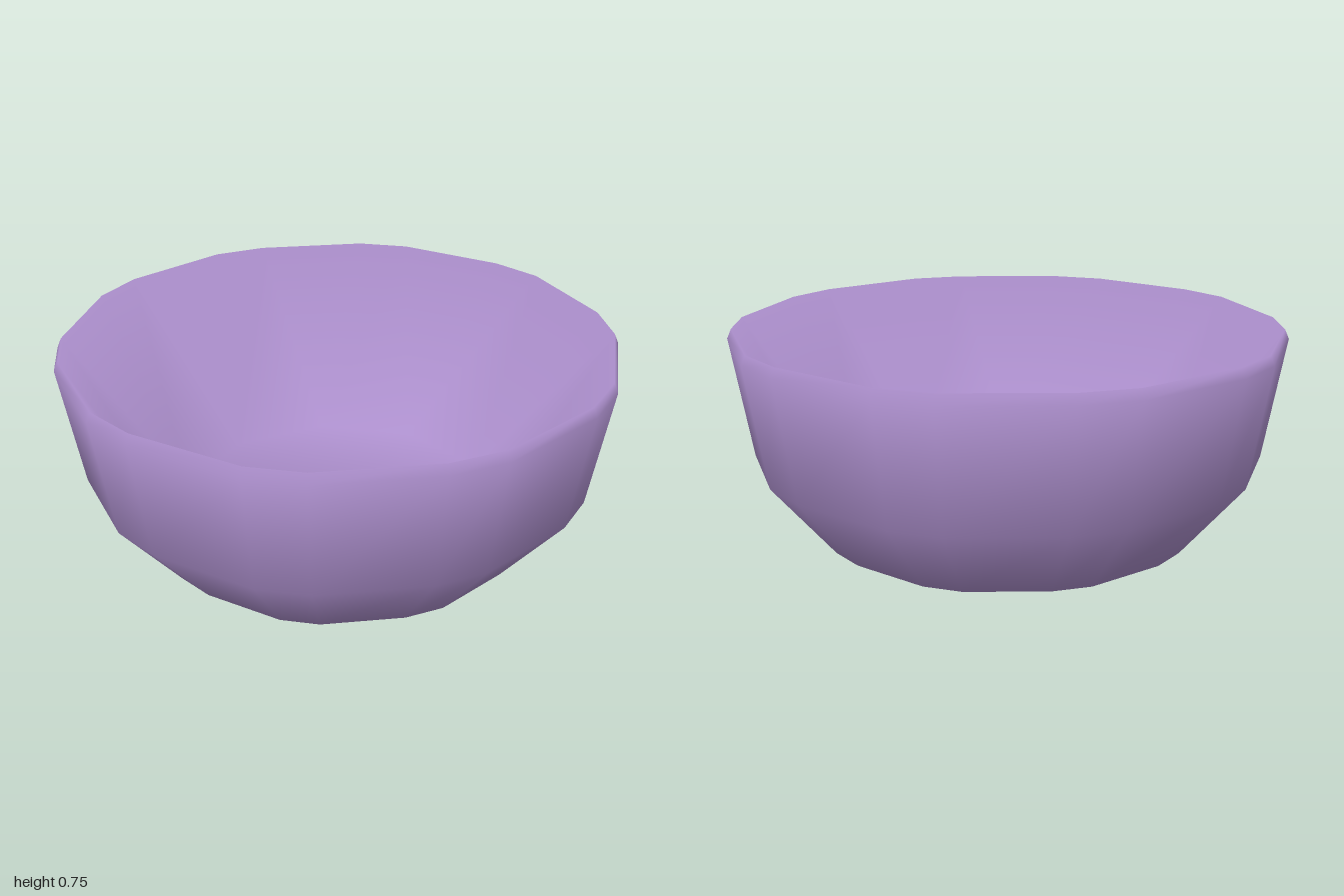
import * as THREE from 'three';

// Bevelled ten-sided outline as [x, z], counter-clockwise seen from above
function bowlOutline() {
  const quarter = [[0.985, 0.21], [0.92, 0.405], [0.67, 0.75], [0.5, 0.865], [0.1, 1]];
  const half = [
    ...quarter.map(([x, z]) => [x, -z]),
    ...[...quarter].reverse().map(([x, z]) => [-x, -z]),
  ];
  return [...half, ...half.map(([x, z]) => [-x, -z])];
}

// Plain decagon of the floor: both ends of each long outline edge meet in one corner
function floorOutline(count, radius) {
  return Array.from({ length: count }, (_, i) => {
    const t = Math.floor((i + 1) / 2) * Math.PI / 5;
    return [radius * Math.cos(t), -radius * Math.sin(t)];
  });
}

export function createModel() {
  const group = new THREE.Group();
  group.name = 'bowl';
  const lilac = new THREE.MeshStandardMaterial({ color: 0xab8ecb });
  lilac.name = 'lilac';

  const outline = bowlOutline();
  const n = outline.length;
  const scaled = (s) => outline.map(([x, z]) => [x * s, z * s]);

  // Foot, shoulder, lip, rim and floor, each with its height and
  // the outward and upward parts of its smooth normal
  const rings = [
    { points: scaled(0.695), y: 0, out: 0.45, up: -0.89 },
    { points: scaled(0.925), y: 0.28, out: 0.91, up: -0.41 },
    { points: outline, y: 0.72, out: 0.97, up: 0.24 },
    { points: scaled(0.985), y: 0.755, out: 0, up: 1 },
    { points: floorOutline(n, 0.6), y: 0.08, out: -0.6, up: 0.8 },
  ];
  const positions = [];
  const normals = [];
  const index = [];
  for (const { points, y, out, up } of rings) {
    for (const [x, z] of points) {
      const r = Math.hypot(x, z);
      positions.push(x, y, z);
      normals.push(out * x / r, up, out * z / r);
    }
  }

  // Walls between neighbouring rings
  for (let j = 0; j < rings.length - 1; j++) {
    for (let i = 0; i < n; i++) {
      const k = (i + 1) % n;
      const a = j * n + i, b = j * n + k;
      index.push(a, b, b + n, a, b + n, a + n);
    }
  }

  // Flat caps cut into strips from one side to the other
  const cap = (start, up) => {
    const tri = (a, b, c) => index.push(start + a, start + (up ? b : c), start + (up ? c : b));
    for (let i = 0; i < n / 2 - 1; i++) {
      tri(i, i + 1, n - 2 - i);
      tri(i, n - 2 - i, n - 1 - i);
    }
  };
  cap(0, false);
  cap((rings.length - 1) * n, true);

  const geometry = new THREE.BufferGeometry();
  geometry.setAttribute('position', new THREE.Float32BufferAttribute(positions, 3));
  geometry.setAttribute('normal', new THREE.Float32BufferAttribute(normals, 3));
  geometry.setIndex(index);

  const shell = new THREE.Mesh(geometry, lilac);
  shell.name = 'bowlShell';
  group.add(shell);
  return group;
}
